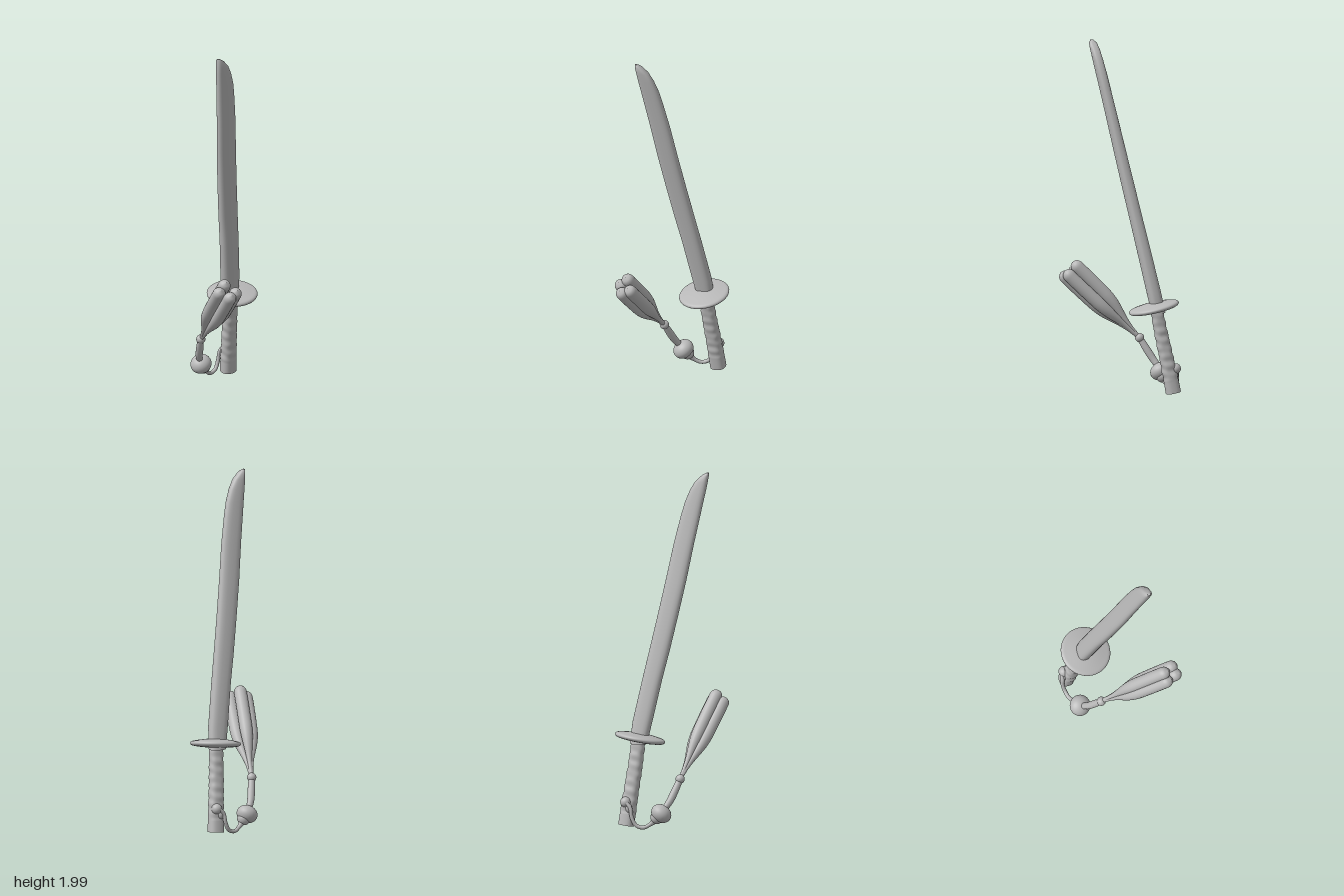
import * as THREE from 'three';

const V = (x, y, z) => new THREE.Vector3(x, y, z);

// Skin a list of rings { c, u, v, a, b } with a rounded cross-section and flat end caps.
function skin(rings, sides = 24, power = 1) {
  const pos = [], idx = [];
  const pow = s => Math.sign(s) * Math.abs(s) ** power;
  const addRing = (r, k) => {
    for (let j = 0; j < sides; j++) {
      const t = j / sides * Math.PI * 2;
      const m = r.bump ? r.bump(t) : 1;
      const p = r.c.clone()
        .addScaledVector(r.u, r.a * m * pow(Math.cos(t)))
        .addScaledVector(r.v, r.b * m * pow(Math.sin(t)));
      pos.push(p.x, p.y, p.z);
    }
  };
  rings.forEach(addRing);
  for (let i = 0; i < rings.length - 1; i++) {
    for (let j = 0; j < sides; j++) {
      const k = (j + 1) % sides;
      const a = i * sides + j, b = i * sides + k;
      idx.push(a, b, b + sides, a, b + sides, a + sides);
    }
  }
  // Caps have their own vertices so their rims stay sharp.
  [rings[0], rings[rings.length - 1]].forEach((r, end) => {
    const base = pos.length / 3;
    addRing(r);
    pos.push(r.c.x, r.c.y, r.c.z);
    for (let j = 0; j < sides; j++) {
      const k = (j + 1) % sides;
      if (end) idx.push(base + j, base + k, base + sides);
      else idx.push(base + k, base + j, base + sides);
    }
  });
  const g = new THREE.BufferGeometry();
  g.setAttribute('position', new THREE.Float32BufferAttribute(pos, 3));
  g.setIndex(idx);
  g.computeVertexNormals();
  return g;
}

// Rings along a smooth path; radius(t) gives [a, b] and ref steers the a axis.
function sweep(points, radius, ref, steps, bump) {
  const curve = new THREE.CatmullRomCurve3(points);
  const rings = [];
  for (let i = 0; i <= steps; i++) {
    const t = i / steps, tan = curve.getTangentAt(t);
    const u = ref.clone().addScaledVector(tan, -ref.dot(tan)).normalize();
    const v = tan.clone().cross(u);
    const [a, b] = radius(t);
    rings.push({ c: curve.getPointAt(t), u, v, a, b, bump: bump && (ang => bump(t, ang)) });
  }
  return rings;
}

export function createModel() {
  const group = new THREE.Group();
  const steel = new THREE.MeshStandardMaterial({ color: 0xb8b8b8 });
  steel.name = 'plain grey';
  const add = (name, geometry) => {
    const mesh = new THREE.Mesh(geometry, steel);
    mesh.name = name;
    group.add(mesh);
    return mesh;
  };
  const axis = V(-0.12, 1, 0.2).normalize();
  const X = V(1, 0, 0), Z = V(0, 0, 1);

  // Blade: level sections given as y, left x, right x, half thickness.
  const sections = [
    [0.48, 0.08, 0.175, 0.038], [0.6, 0.057, 0.168, 0.038], [0.84, 0.015, 0.127, 0.036],
    [1.0, -0.018, 0.098, 0.034], [1.2, -0.055, 0.062, 0.033], [1.4, -0.09, 0.028, 0.031],
    [1.6, -0.12, -0.004, 0.029], [1.75, -0.145, -0.034, 0.028], [1.83, -0.158, -0.053, 0.028],
    [1.9, -0.17, -0.079, 0.027], [1.95, -0.177, -0.107, 0.026], [1.985, -0.181, -0.143, 0.022],
    [2.0, -0.182, -0.168, 0.008],
  ];
  add('blade', skin(sections.map(([y, l, r, h]) => ({
    c: V((l + r) / 2, y, -0.167 + 0.2 * (y - 0.53)),
    u: X, v: V(0, 0, -1), a: (r - l) / 2, b: h,
  })), 28, 0.75));

  // Guard: a lens-shaped disc square to the blade.
  const lens = [[0, -0.024], [0.06, -0.022], [0.11, -0.017], [0.135, -0.011], [0.143, 0],
    [0.135, 0.011], [0.11, 0.017], [0.06, 0.025], [0, 0.03]];
  const guard = add('guard', new THREE.LatheGeometry(
    new THREE.SplineCurve(lens.map(p => new THREE.Vector2(Math.max(p[0], 0), p[1])))
      .getPoints(32).map(p => p.setX(Math.max(p.x, 0))), 48));
  guard.position.set(0.127, 0.505, -0.152);
  guard.quaternion.setFromUnitVectors(V(0, 1, 0), axis);

  // Handle with the soft ridges of a criss-cross wrap.
  const wrap = (t, a) => 1 + (t < 0.15 ? 0 : 0.035 * Math.sin(t * 44) * Math.cos(2 * a)
    + 0.03 * Math.sin(t * 62 + a));
  add('handle', skin(sweep(
    [V(0.173, 0.02, -0.253), V(0.158, 0.18, -0.225), V(0.142, 0.34, -0.194), V(0.13, 0.5, -0.165)],
    t => [0.044 - 0.006 * t, 0.042 - 0.008 * t], X, 70, wrap), 28, 0.8));

  // Knot where the cord joins the handle.
  const ball = (name, p, r, sx = 1, sy = 1, sz = 1) => {
    const m = add(name, new THREE.SphereGeometry(r, 28, 20));
    m.position.set(...p);
    m.scale.set(sx, sy, sz);
    return m;
  };
  ball('handleKnot', [0.172, 0.157, -0.266], 0.03);
  ball('handleKnotLoop', [0.15, 0.125, -0.272], 0.018, 1, 1.5, 1);

  // Cord hanging from the knot to the big bead, swelling as it enters it.
  add('cord', skin(sweep([
    V(0.165, 0.16, -0.282), V(0.138, 0.13, -0.284), V(0.128, 0.08, -0.287), V(0.105, 0.033, -0.282),
    V(0.065, 0.019, -0.272), V(0.03, 0.036, -0.255), V(0, 0.065, -0.243), V(-0.03, 0.1, -0.235),
  ], t => { const r = 0.011 + 0.022 * Math.max(0, t - 0.72) / 0.28; return [r, r]; }, Z, 60), 14));

  // Big bead: a plump mushroom-shaped knot tipped along the cord.
  const bead = ball('bigBead', [-0.03, 0.1, -0.234], 0.06, 1, 0.82, 1);
  bead.quaternion.setFromUnitVectors(V(0, 1, 0), V(-0.5, 0.8, 0.3).normalize());
  ball('beadCollar', [-0.008, 0.078, -0.24], 0.038);

  // Cord from the big bead to the small bead.
  add('upperCord', skin(sweep(
    [V(-0.045, 0.125, -0.225), V(-0.068, 0.165, -0.2), V(-0.087, 0.22, -0.168), V(-0.106, 0.283, -0.133)],
    t => { const r = 0.017 + 0.004 * Math.sin(t * Math.PI); return [r, r]; }, X, 24), 16));
  ball('smallBead', [-0.106, 0.283, -0.133], 0.026);

  // Tassel: four strands, thin at the bead and swelling to rounded ends.
  const root = V(-0.106, 0.285, -0.13);
  const ends = [
    V(-0.238, 0.67, 0.225), V(-0.197, 0.71, 0.22),
    V(-0.206, 0.65, 0.289), V(-0.159, 0.668, 0.279),
  ];
  const centre = ends.reduce((s, p) => s.add(p), V(0, 0, 0)).multiplyScalar(0.25);
  ends.forEach((end, i) => {
    const spread = end.clone().sub(centre);
    const at = (t, s) => root.clone().lerp(centre, t).addScaledVector(spread, s);
    const radius = t => {
      const body = 0.011 + 0.025 * THREE.MathUtils.smoothstep(t, 0.08, 0.55);
      const tip = Math.max(0, (t - 0.93) / 0.07);
      const r = body * Math.sqrt(Math.max(0.0004, 1 - tip * tip));
      return [r, r];
    };
    add('tasselStrand' + (i + 1), skin(sweep(
      [root, at(0.2, 0.3), at(0.45, 0.8), at(0.75, 0.95), at(1.03, 0.95)], radius, X, 72), 20));
  });

  return group;
}
